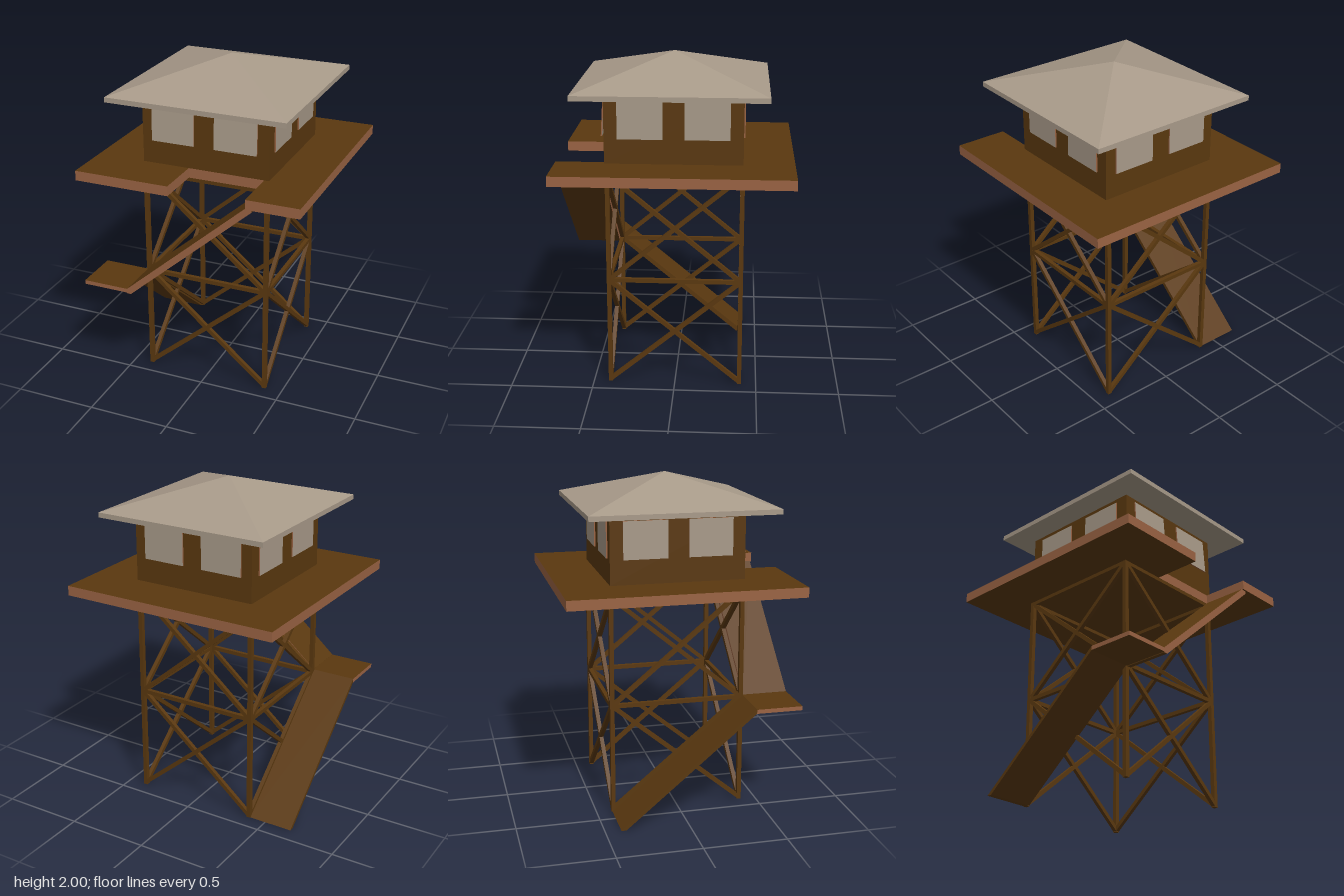
import * as THREE from 'three';

const wood = new THREE.MeshStandardMaterial({ color: 0x5a380f, name: 'darkWood' });
const trim = new THREE.MeshStandardMaterial({ color: 0x9a6343, name: 'reddishWood' });
const pale = new THREE.MeshStandardMaterial({ color: 0xa89a89, name: 'paleGrey' });

const LX = 0.385, LZ = 0.397, MID = 0.67, TOP = 1.33;

function add(parent, name, geometry, material) {
  const mesh = new THREE.Mesh(geometry, material);
  mesh.name = name;
  parent.add(mesh);
  return mesh;
}

// Square timber between two points
function beam(parent, name, a, b, t = 0.025) {
  const from = new THREE.Vector3(...a), to = new THREE.Vector3(...b);
  const mesh = add(parent, name, new THREE.BoxGeometry(t, t, from.distanceTo(to)), wood);
  mesh.position.copy(from).add(to).multiplyScalar(0.5);
  mesh.lookAt(to);
  return mesh;
}

function extrude(points, depth) {
  const shape = new THREE.Shape(points.map(([x, y]) => new THREE.Vector2(x, y)));
  return new THREE.ExtrudeGeometry(shape, { depth, bevelEnabled: false });
}

// Hipped roof: vertical eave band, pyramid top and flat underside, flat shaded
function roofGeometry(x0, x1, z0, z1, y0, y1, apex) {
  const ring = [[x0, z1], [x1, z1], [x1, z0], [x0, z0]];
  const low = ring.map(([x, z]) => [x, y0, z]), high = ring.map(([x, z]) => [x, y1, z]);
  const v = [];
  for (let i = 0; i < 4; i++) {
    const j = (i + 1) % 4;
    v.push(low[i], low[j], high[j], low[i], high[j], high[i], high[i], high[j], apex);
  }
  v.push(low[0], low[2], low[1], low[0], low[3], low[2]);
  const g = new THREE.BufferGeometry();
  g.setAttribute('position', new THREE.Float32BufferAttribute(v.flat(), 3));
  g.computeVertexNormals();
  return g;
}

export function createModel() {
  const model = new THREE.Group();
  model.name = 'watchtower';

  // Legs, rails and cross braces
  const frame = new THREE.Group();
  frame.name = 'frame';
  model.add(frame);
  const corners = [[-LX, LZ], [LX, LZ], [LX, -LZ], [-LX, -LZ]];
  corners.forEach(([x, z], i) => {
    const leg = add(frame, 'leg', new THREE.BoxGeometry(0.026, 1.34, 0.026), wood);
    leg.position.set(x, 0.67, z);
    const [u, w] = corners[(i + 1) % 4];
    for (const [lo, hi] of [[0.012, MID], [MID, TOP]]) {
      beam(frame, 'rail', [x, hi, z], [u, hi, w]);
      beam(frame, 'brace', [x, lo, z], [u, hi, w]);
      beam(frame, 'brace', [x, hi, z], [u, lo, w]);
    }
  });

  // Platform with a stair opening along the front edge
  const deck = extrude([
    [-0.69, -0.7], [-0.1, -0.7], [-0.1, -0.41], [0.37, -0.41],
    [0.37, -0.7], [0.69, -0.7], [0.69, 0.7], [-0.69, 0.7],
  ], 0.06);
  deck.rotateX(-Math.PI / 2);
  add(model, 'platform', deck, [wood, trim]).position.y = 1.34;

  // Upper ramp, landing and lower ramp
  const upper = extrude([[-0.39, 0.65], [-0.365, 0.65], [0.405, 1.325], [0.405, 1.345], [0.37, 1.345], [-0.39, 0.68]], 0.275);
  add(model, 'upperRamp', upper, [trim, wood]).position.z = 0.415;

  const landing = add(model, 'landing', new THREE.BoxGeometry(0.285, 0.025, 0.28),
    [trim, trim, wood, wood, trim, trim]);
  landing.position.set(-0.5325, 0.667, 0.55);

  const lower = extrude([[-0.405, 0], [-0.375, 0], [0.41, 0.655], [0.41, 0.68]], 0.285);
  lower.rotateY(-Math.PI / 2);
  add(model, 'lowerRamp', lower, wood).position.x = -0.39;

  // Cabin
  const cabin = new THREE.Group();
  cabin.name = 'cabin';
  cabin.position.set(0.005, 0, 0.005);
  model.add(cabin);
  add(cabin, 'walls', new THREE.BoxGeometry(0.79, 0.4, 0.81), wood).position.y = 1.6;

  // Two window panels on each wall; the front pair leans out at the bottom
  const offsets = [0.405, 0.395, 0.405, 0.395];
  offsets.forEach((d, i) => {
    const side = new THREE.Group();
    side.name = 'windows';
    side.rotation.y = i * Math.PI / 2;
    cabin.add(side);
    for (const s of [-1, 1]) {
      const pane = add(side, 'window', new THREE.BoxGeometry(0.265, 0.225, 0.008),
        [trim, trim, trim, trim, pale, pale]);
      pane.position.set(s * 0.195, 1.66, d + (i === 0 ? 0.014 : 0.004));
      if (i === 0) pane.rotation.x = -0.06;
    }
  });

  // Roof
  add(model, 'roof', roofGeometry(-0.54, 0.56, -0.545, 0.585, 1.8, 1.83, [0.01, 2, 0.02]), pale);

  return model;
}
